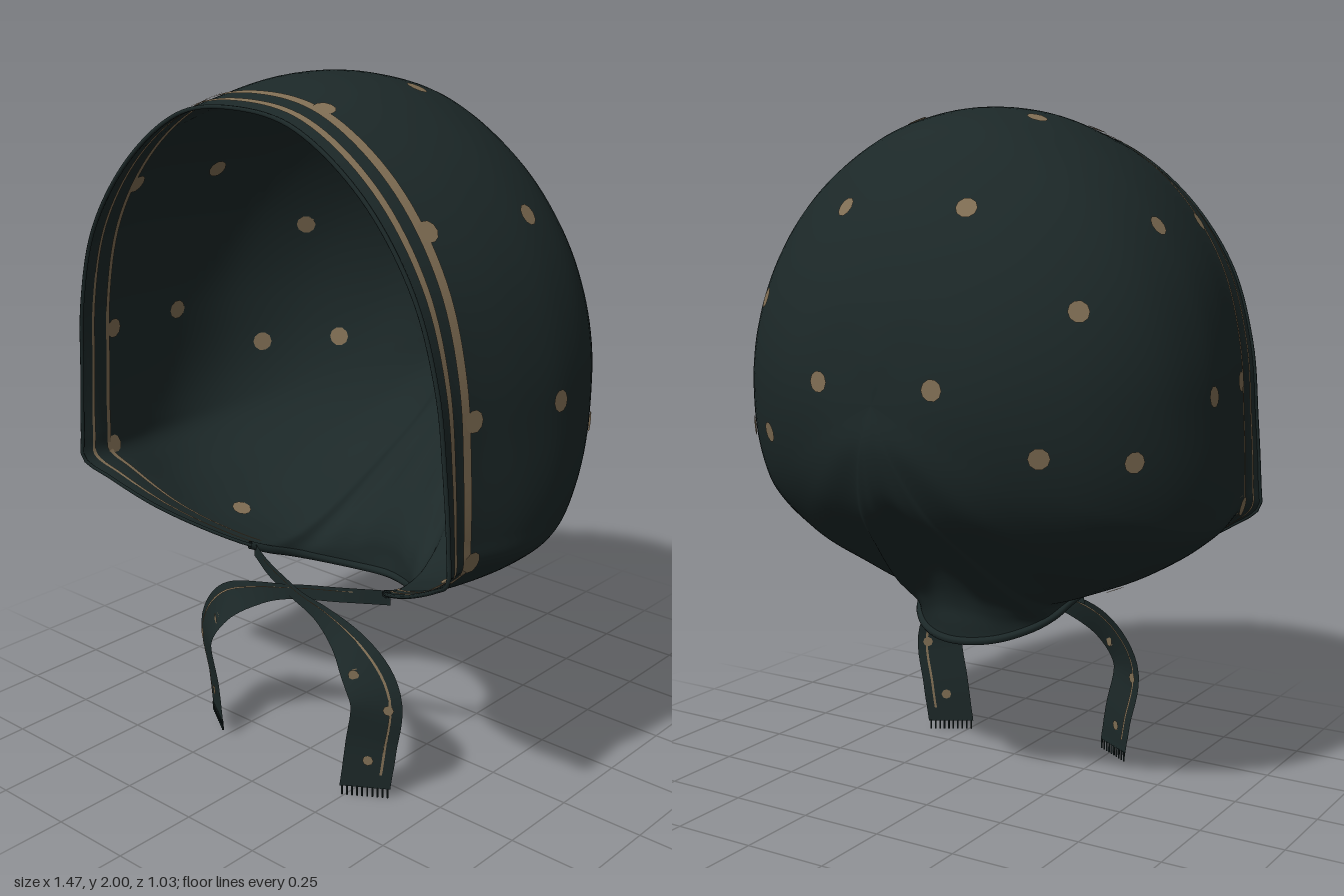
import * as THREE from 'three';

const V = (a) => new THREE.Vector3(...a);
const MID = 1.2; // height of the centre the shell is drawn around

const cloth = new THREE.MeshStandardMaterial({ color: 0x1c2828, side: THREE.DoubleSide });
cloth.name = 'dark cloth';
const tan = new THREE.MeshStandardMaterial({ color: 0x806e54, side: THREE.DoubleSide });
tan.name = 'tan print';

// Half of the open edge: face arch, jaw corner, then the nape
const half = [
  [0, 1.94, 0.51], [0.2, 1.91, 0.505], [0.42, 1.765, 0.5], [0.585, 1.55, 0.5], [0.66, 1.32, 0.495],
  [0.685, 1.1, 0.49], [0.7, 0.9, 0.49], [0.7, 0.83, 0.49], [0.63, 0.775, 0.45], [0.48, 0.69, 0.38],
  [0.27, 0.58, 0.22], [0.22, 0.51, 0.05], [0.12, 0.47, -0.06], [0, 0.46, -0.1],
];
const mirrored = half.slice(1, -1).reverse().map(([x, y, z]) => [-x, y, z]);
const edge = new THREE.CatmullRomCurve3([...half, ...mirrored].map(V), true);
const NECK = 10 / (half.length + mirrored.length); // where the ties start

// Profiles from the edge to the back pole (radius, z), at angles down from the top
const angles = [0, 30, 90, 118, 138, 157, 180];
const profiles = [
  [0.74, 0.51, 0.765, 0.4, 0.8, 0.2, 0.79, 0, 0.72, -0.2, 0.52, -0.37, 0.32, -0.46, 0.14, -0.5, 0, -0.505],
  [0.705, 0.505, 0.73, 0.4, 0.76, 0.2, 0.755, 0, 0.69, -0.19, 0.51, -0.36, 0.32, -0.46, 0.14, -0.497, 0, -0.505],
  [0.685, 0.495, 0.68, 0.4, 0.72, 0.2, 0.728, 0.03, 0.68, -0.15, 0.55, -0.32, 0.34, -0.45, 0.15, -0.495, 0, -0.505],
  [0.79, 0.49, 0.77, 0.4, 0.805, 0.2, 0.795, 0.04, 0.725, -0.12, 0.59, -0.28, 0.38, -0.42, 0.17, -0.49, 0, -0.505],
  [0.7, 0.38, 0.715, 0.3, 0.73, 0.2, 0.725, 0.08, 0.69, -0.05, 0.58, -0.23, 0.39, -0.4, 0.18, -0.49, 0, -0.505],
  [0.676, 0.22, 0.68, 0.17, 0.68, 0.1, 0.67, 0.03, 0.62, -0.08, 0.5, -0.235, 0.34, -0.4, 0.15, -0.495, 0, -0.505],
  [0.74, -0.1, 0.69, -0.105, 0.63, -0.11, 0.56, -0.14, 0.48, -0.2, 0.37, -0.33, 0.26, -0.45, 0.12, -0.507, 0, -0.505],
];
const blend = new THREE.CubicInterpolant(angles, profiles.flat(), 18, new Float32Array(18));
blend.settings = { endingStart: THREE.ZeroSlopeEnding, endingEnd: THREE.ZeroSlopeEnding };

function shellPoint(u, s) {
  const e = edge.getPoint(((u % 1) + 1) % 1);
  const reach = Math.hypot(e.x, e.y - MID);
  const angle = THREE.MathUtils.radToDeg(Math.atan2(Math.abs(e.x), e.y - MID));
  const v = blend.evaluate(angle);
  const points = [];
  for (let i = 0; i < 18; i += 2) points.push(new THREE.Vector2(v[i], v[i + 1]));
  const p = new THREE.SplineCurve(points).getPoint(s);
  // the outline's corners fade out away from the edge
  const fade = (1 - s) ** 2;
  const z = p.y + (e.z - points[0].y) * fade;
  // gathers towards the nape
  const pleat = 0.006 * Math.cos(u * Math.PI * 52) * THREE.MathUtils.smoothstep(angle, 120, 170) * Math.sin(Math.PI * s);
  const r = (p.x * (1 + pleat) + (reach - points[0].x) * fade) / reach;
  return new THREE.Vector3(e.x * r, MID + (e.y - MID) * r, z);
}

// Grid surface from a function of (i, j)
function grid(nu, nv, fn, closed = false) {
  const pos = [], idx = [];
  const rows = closed ? nu : nu + 1;
  for (let i = 0; i < rows; i++) for (let j = 0; j <= nv; j++) pos.push(...fn(i / nu, j / nv).toArray());
  for (let i = 0; i < nu; i++) for (let j = 0; j < nv; j++) {
    const n = (i + 1) % rows;
    const a = i * (nv + 1) + j, b = n * (nv + 1) + j;
    idx.push(a, b, a + 1, b, b + 1, a + 1);
  }
  const g = new THREE.BufferGeometry();
  g.setAttribute('position', new THREE.Float32BufferAttribute(pos, 3));
  g.setIndex(idx);
  g.computeVertexNormals();
  return g;
}

function add(parent, name, geometry, material) {
  const m = new THREE.Mesh(geometry, material);
  m.name = name;
  parent.add(m);
  return m;
}

// Shell point pushed off the cloth, outwards (+) or inwards (-)
function offsetPoint(u, s, d) {
  const p = shellPoint(u, s);
  const du = shellPoint(u + 0.003, s).sub(shellPoint(u - 0.003, s));
  const ds = shellPoint(u, s + 0.01).sub(shellPoint(u, s - 0.01));
  const n = du.cross(ds).normalize();
  if (n.dot(p.clone().sub(new THREE.Vector3(0, MID, 0))) < 0) n.negate();
  return p.addScaledVector(n, d);
}

// Hanging tie: a flat ribbon with a printed line, spots and a fringe
function makeTie(name, side, drop, depth) {
  const tie = new THREE.Group();
  tie.name = name;
  const path = new THREE.CatmullRomCurve3([
    [-0.27, 0.56, 0.2], [-0.14, 0.555, 0.27], [0, 0.53, 0.3 + depth], [0.13, 0.5, 0.325],
    [0.26, 0.435, 0.345], [0.34, 0.32, 0.345], [0.318, 0.16, 0.34], [0.3, drop, 0.345],
  ].map(([x, y, z]) => V([x * side, y, z])));
  const at = (t, f, lift = 0) => {
    const p = path.getPoint(t), d = path.getTangent(t);
    if (t > 0.93) d.set(0, -1, 0);
    const across = new THREE.Vector3(-d.y * side, d.x * side, 0).normalize();
    const hang = THREE.MathUtils.smoothstep(t, 0.3, 0.68);
    across.z = -0.62 * hang;
    p.addScaledVector(across, (f - 0.5) * THREE.MathUtils.lerp(0.045, 0.125, hang));
    p.z += lift;
    return p;
  };
  add(tie, 'ribbon', grid(48, 4, (t, f) => at(t, f)), cloth);
  for (const lift of [0.004, -0.004]) {
    add(tie, 'ribbonLine', grid(40, 1, (t, f) => at(0.1 + t * 0.85, 0.76 + f * 0.05, lift)), tan);
    for (const [t, f] of [[0.62, 0.3], [0.74, 0.75], [0.9, 0.5]]) {
      const spot = add(tie, 'ribbonSpot', new THREE.CircleGeometry(0.016, 8), tan);
      spot.position.copy(at(t, f, lift * 1.3));
      spot.rotation.y = 0.55 * side;
    }
  }
  for (let i = 0; i < 10; i++) {
    const thread = add(tie, 'fringeThread', new THREE.BoxGeometry(0.004, 0.03, 0.004), cloth);
    thread.position.copy(at(1, (i + 0.5) / 10)).y -= 0.013;
  }
  return tie;
}

export function createModel() {
  const model = new THREE.Group();
  model.name = 'bonnet';

  const shell = add(model, 'bonnetShell', grid(208, 48, shellPoint, true), cloth);

  // Hem along the whole open edge, thicker gathered roll at the nape
  add(model, 'hem', new THREE.TubeGeometry(edge, 180, 0.006, 6, true), cloth);
  const nape = [];
  for (let i = 0; i <= 16; i++) nape.push(edge.getPoint(THREE.MathUtils.lerp(NECK, 1 - NECK, i / 16)));
  add(model, 'napeRoll', new THREE.TubeGeometry(new THREE.CatmullRomCurve3(nape), 48, 0.012, 8), cloth);

  // Two printed stripes around the face edge, worn thinner on the right side
  for (const s of [0.067, 0.124]) {
    for (const d of [0.004, -0.004]) {
      add(model, 'brimStripe', grid(160, 1, (t, f) => {
        const width = THREE.MathUtils.lerp(0.012, 0.024, THREE.MathUtils.smoothstep(t, 0.3, 0.6));
        return offsetPoint(THREE.MathUtils.lerp(-NECK, NECK, t), s + (f - 0.5) * width, d);
      }), tan);
    }
  }

  // Printed spots, mirrored, on both faces of the cloth
  const spots = [
    [0.18, 1.25, -0.48], [0.2, 1.73, -0.35], [0.52, 1.46, -0.31], [0.44, 1.08, -0.38],
    [0.6, 1.07, -0.2], [0.71, 1.21, 0.07], [0.6, 1.69, 0.02], [0.2, 1.96, 0.02],
    [0.42, 0.62, 0.11], [0.2, 1.95, 0.385], [0.54, 1.68, 0.385], [0.71, 1.22, 0.385], [0.71, 0.84, 0.395],
  ];
  const ray = new THREE.Raycaster();
  const origin = new THREE.Vector3(0, MID, 0.1);
  for (const spot of spots) for (const side of [1, -1]) {
    const dir = V([spot[0] * side, spot[1], spot[2]]).sub(origin).normalize();
    ray.set(origin, dir);
    const hit = ray.intersectObject(shell)[0];
    if (!hit) continue;
    const n = hit.face.normal.clone();
    if (n.dot(dir) < 0) n.negate();
    for (const d of [0.005, -0.005]) {
      const dot = add(model, 'spot', new THREE.CircleGeometry(0.03, 10), tan);
      dot.position.copy(hit.point).addScaledVector(n, d);
      dot.lookAt(dot.position.clone().add(n));
    }
  }

  model.add(makeTie('leftTie', 1, 0.028, 0.008), makeTie('rightTie', -1, 0.055, -0.008));
  return model;
}
